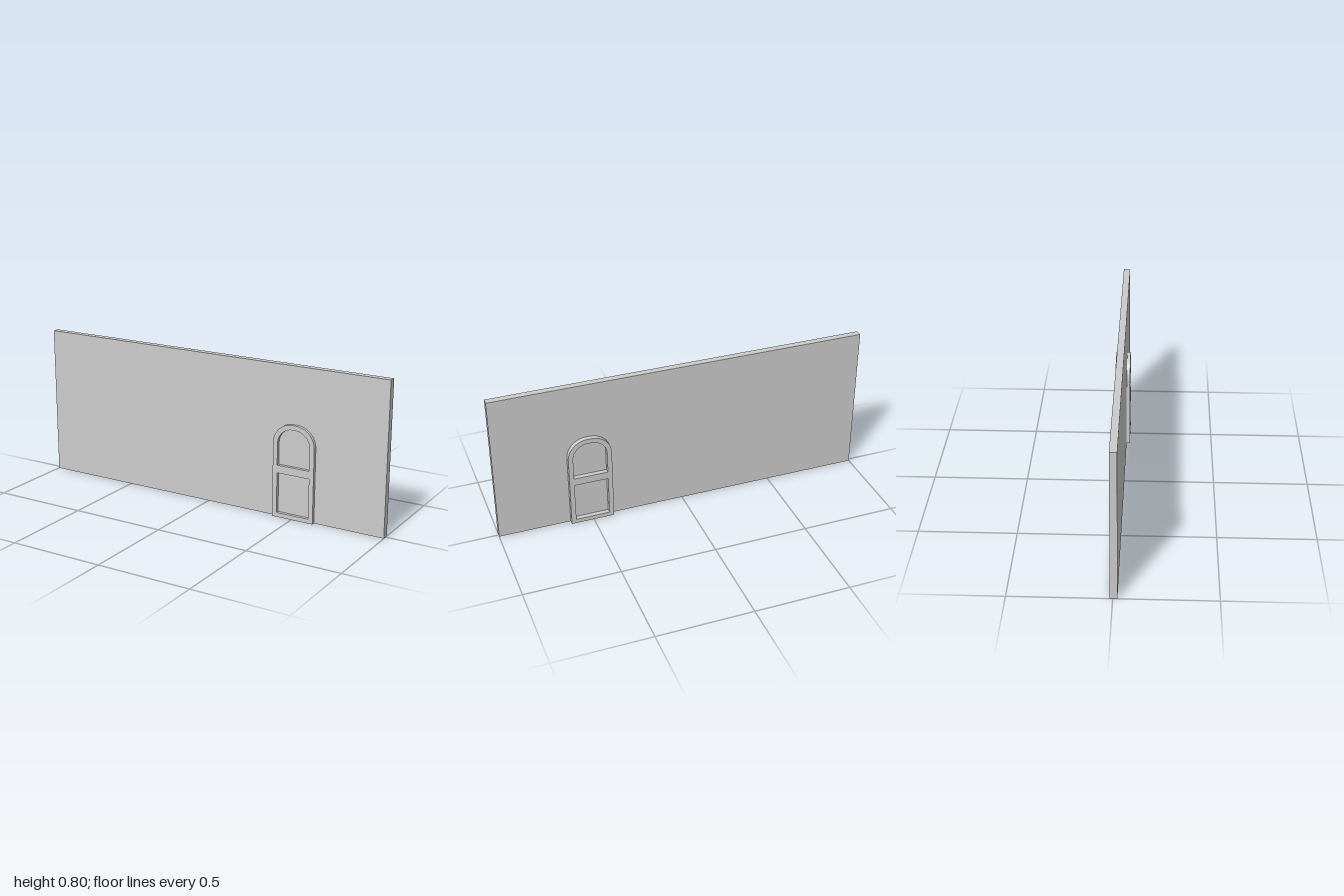
import * as THREE from 'three';
import { toCreasedNormals } from 'three/addons/utils/BufferGeometryUtils.js';

// Outline with a straight base and rounded top corners
function arch(target, x0, x1, y0, y1, r) {
  target.moveTo(x0, y0);
  target.lineTo(x1, y0);
  target.lineTo(x1, y1 - r);
  target.absarc(x1 - r, y1 - r, r, 0, Math.PI / 2, false);
  target.absarc(x0 + r, y1 - r, r, Math.PI / 2, Math.PI, false);
  target.lineTo(x0, y0);
  return target;
}

export function createModel() {
  const group = new THREE.Group();
  const material = new THREE.MeshStandardMaterial({ color: 0xcccccc });

  // Wall slab
  const wall = new THREE.Mesh(new THREE.BoxGeometry(2, 0.8, 0.036), material);
  wall.name = 'wall';
  wall.position.set(0, 0.4, 0.004);
  group.add(wall);

  // Arched door frame, passing through the wall and standing proud on both sides
  const left = 0.39, right = 0.62, top = 0.5, border = 0.025, depth = 0.08;
  const outline = arch(new THREE.Shape(), left, right, 0, top, 0.105);

  // Arched upper opening and rectangular lower opening, split by a middle rail
  const x0 = left + border, x1 = right - border;
  outline.holes.push(arch(new THREE.Path(), x0, x1, 0.278, top - border, 0.082));
  outline.holes.push(new THREE.Path([
    new THREE.Vector2(x0, 0.023), new THREE.Vector2(x1, 0.023),
    new THREE.Vector2(x1, 0.237), new THREE.Vector2(x0, 0.237),
  ]));

  const geometry = new THREE.ExtrudeGeometry(outline, { depth, bevelEnabled: false, curveSegments: 16 });
  geometry.translate(0, 0, -depth / 2);
  const frame = new THREE.Mesh(toCreasedNormals(geometry, 0.6), material);
  frame.name = 'doorFrame';
  group.add(frame);

  return group;
}
